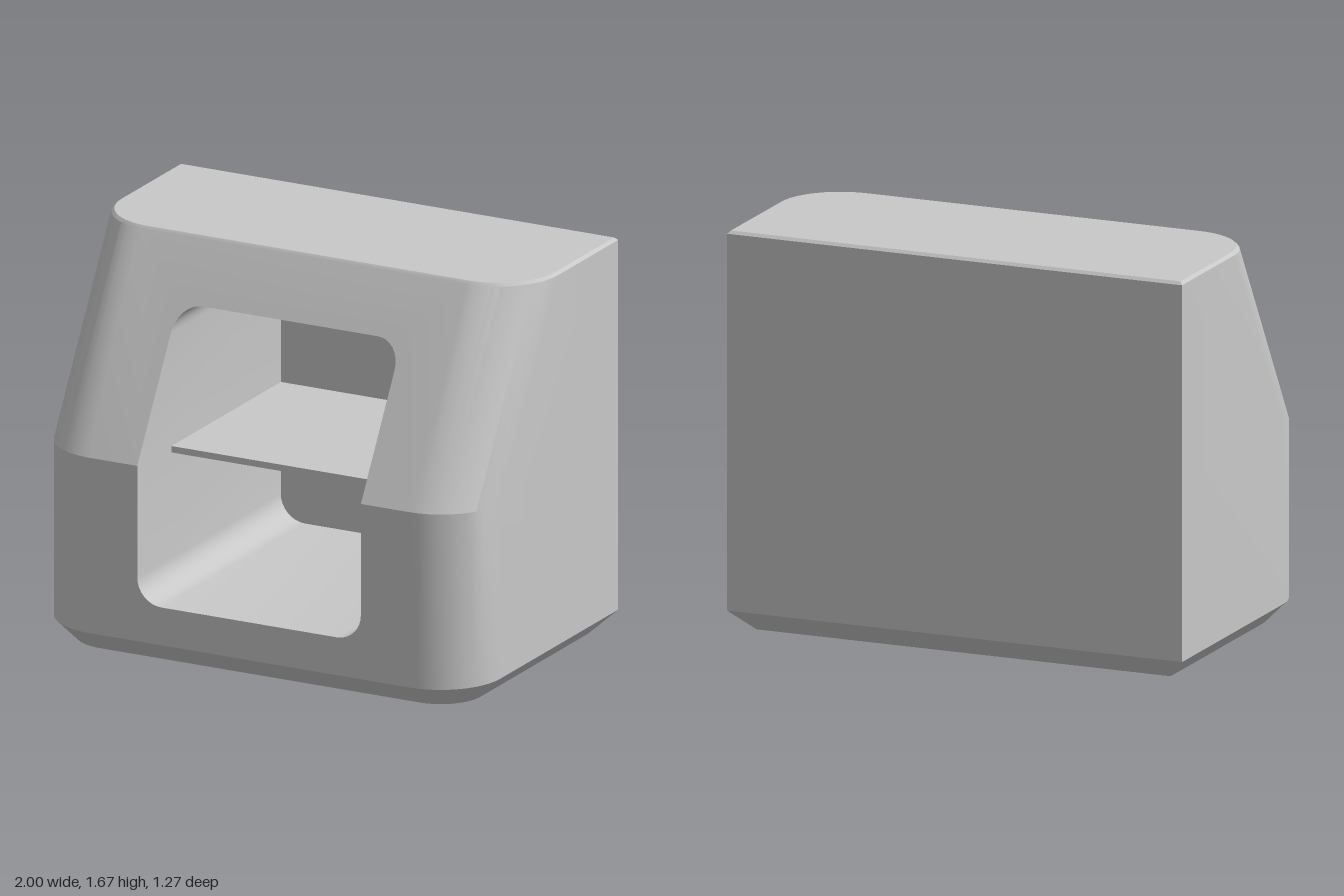
import * as THREE from 'three';
import { mergeGeometries, toCreasedNormals } from 'three/addons/utils/BufferGeometryUtils.js';

const BACK = -0.635, FRONT = 0.635, BEND = 0.832, TOP = 1.667, BEVEL = 0.012, CHAMFER = 0.09;
const RADIUS = 0.27, ARC = 12;
const OPEN = { x: 0.51, bottom: 0.25, top: 1.422, r: 0.11, back: -0.58 };

// Depth of the front face: upright below the bend, leaning back above it
const frontZ = (y) => FRONT - Math.max(0, y - BEND) * 0.592;

// Plan outline with rounded front corners
function ring(y, inset) {
  const pts = [[1 - inset, y, BACK + inset]];
  const r = RADIUS - inset, cz = frontZ(Math.min(y, TOP - BEVEL)) - RADIUS;
  for (const side of [1, -1]) {
    for (let i = 0; i <= ARC; i++) {
      const t = ((side > 0 ? i : ARC - i) / ARC) * Math.PI / 2;
      pts.push([side * (1 - RADIUS + r * Math.cos(t)), y, cz + r * Math.sin(t)]);
    }
  }
  pts.push([-1 + inset, y, BACK + inset]);
  return pts;
}

// Quads between two closed loops, optionally leaving one out
function strip(out, a, b, skip = -1) {
  for (let i = 0; i < a.length; i++) {
    if (i === skip) continue;
    const j = (i + 1) % a.length;
    out.push(...a[i], ...b[i], ...b[j], ...a[i], ...b[j], ...a[j]);
  }
}

function cap(out, loop, up) {
  for (let i = 1; i < loop.length - 1; i++) {
    const [p, q] = up ? [loop[i + 1], loop[i]] : [loop[i], loop[i + 1]];
    out.push(...loop[0], ...p, ...q);
  }
}

function fromPositions(positions) {
  const g = new THREE.BufferGeometry();
  g.setAttribute('position', new THREE.Float32BufferAttribute(positions, 3));
  return g;
}

// Flat shape whose points are pushed to the depth given by zOf(y)
function plate(points, zOf) {
  const g = new THREE.ShapeGeometry(new THREE.Shape(points.map((p) => new THREE.Vector2(...p)))).toNonIndexed();
  const pos = g.attributes.position;
  for (let i = 0; i < pos.count; i++) pos.setZ(i, zOf(pos.getY(i)));
  g.deleteAttribute('uv');
  g.deleteAttribute('normal');
  return g;
}

// Half of the opening, from right to left; dir -1 is the lower half
function notch(dir) {
  const { x, r } = OPEN, cy = dir < 0 ? OPEN.bottom + r : OPEN.top - r;
  const pts = [[x, BEND]];
  for (const side of [1, -1]) {
    for (let i = 0; i <= 8; i++) {
      const t = ((side > 0 ? i : 8 - i) / 8) * Math.PI / 2;
      pts.push([side * (x - r + r * Math.cos(t)), cy + dir * r * Math.sin(t)]);
    }
  }
  pts.push([-x, BEND]);
  return pts;
}

export function createModel() {
  const group = new THREE.Group();
  group.name = 'cabinet';
  const grey = new THREE.MeshStandardMaterial({ color: 0xc8c8c8 });
  grey.name = 'light grey';
  const add = (name, geometry) => {
    const mesh = new THREE.Mesh(geometry, grey);
    mesh.name = name;
    group.add(mesh);
    return mesh;
  };

  // Outer shell: chamfered foot, upright walls, leaning walls, bevelled top
  const rings = [ring(0, CHAMFER), ring(CHAMFER, 0), ring(BEND, 0), ring(TOP - BEVEL, 0), ring(TOP, BEVEL)];
  const shell = [];
  const flatFront = ARC + 1;
  for (let i = 0; i < 4; i++) strip(shell, rings[i], rings[i + 1], i === 1 || i === 2 ? flatFront : -1);
  cap(shell, rings[0], false);
  cap(shell, rings[4], true);

  // Front panels around the opening, below and above the bend
  const lower = notch(-1), upper = notch(1), px = 1 - RADIUS;
  const panel = (half, y) => plate([...half, [-px, BEND], [-px, y], [px, y], [px, BEND]], frontZ);
  const body = mergeGeometries([fromPositions(shell), panel(lower, CHAMFER), panel(upper, TOP - BEVEL)]);
  add('body', toCreasedNormals(body, 0.3));

  // Compartment lining
  const loop = [...lower, ...upper.slice(1, -1).reverse()];
  const lining = [];
  strip(lining, loop.map(([x, y]) => [x, y, frontZ(y)]), loop.map(([x, y]) => [x, y, OPEN.back]));
  const inside = mergeGeometries([fromPositions(lining), plate(loop, () => OPEN.back)]);
  add('compartment', toCreasedNormals(inside, 0.3));

  // Shelf
  const shelfFront = 0.347, depth = shelfFront - OPEN.back;
  const shelf = add('shelf', new THREE.BoxGeometry(2 * OPEN.x, 0.027, depth));
  shelf.position.set(0, 0.8185, shelfFront - depth / 2);

  return group;
}
